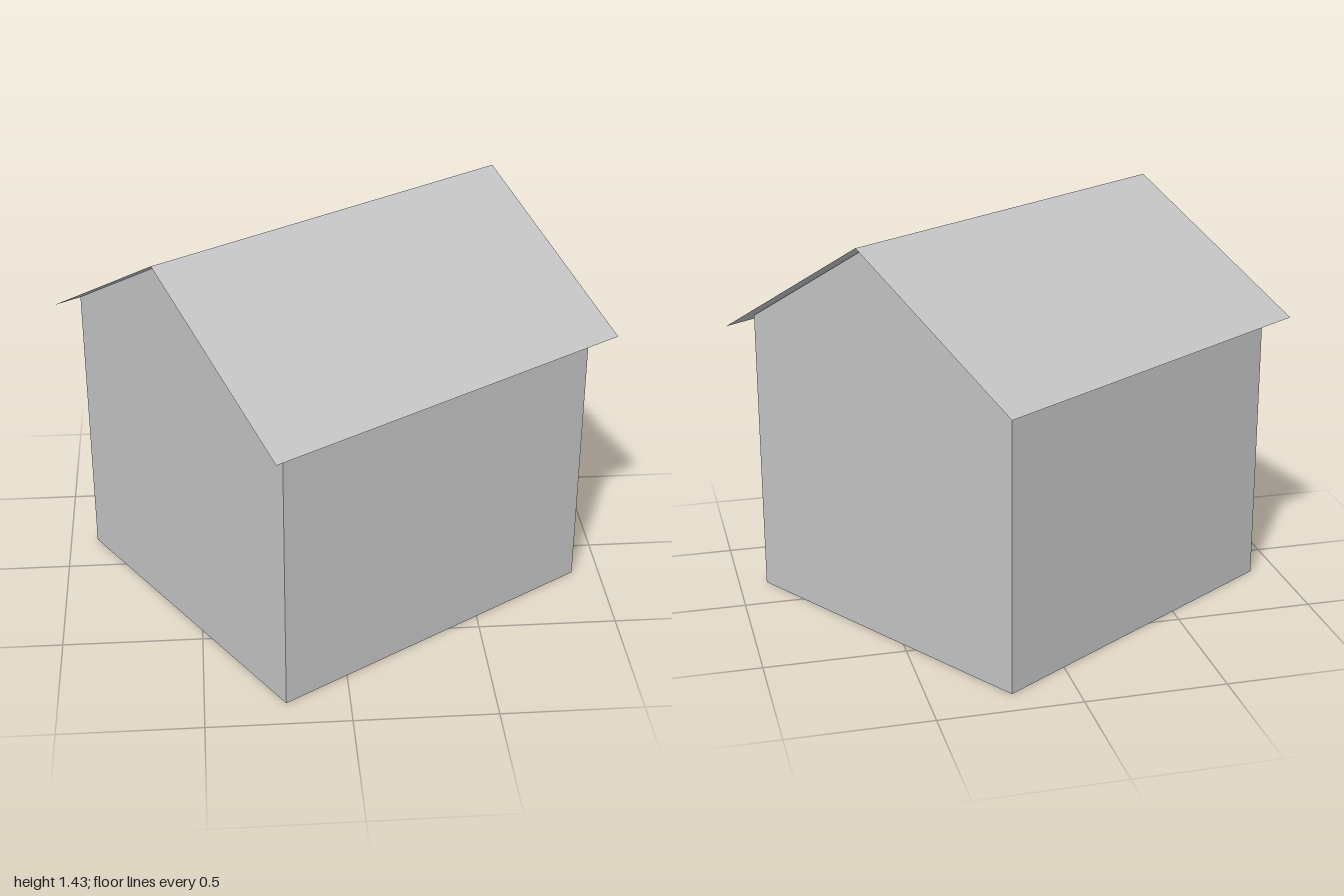
import * as THREE from 'three';

export function createModel() {
  const model = new THREE.Group();
  model.name = 'house';
  const grey = new THREE.MeshStandardMaterial({ color: 0xc4c4c4, side: THREE.DoubleSide });
  grey.name = 'plain grey';

  const wallX = 0.663, wallZ = 0.633; // half sizes of the walls
  const roofX = 0.737, roofZ = 0.703; // half sizes of the roof
  const ridgeY = 1.43, roofEaveY = 1.01;
  const slope = (ridgeY - roofEaveY) / roofZ;
  const wallTop = ridgeY - slope * wallZ - 0.002;

  // the house stands turned on its plot
  const house = new THREE.Group();
  house.name = 'turnedHouse';
  house.rotation.y = 0.566;
  model.add(house);

  const add = (name, geometry) => {
    const mesh = new THREE.Mesh(geometry, grey);
    mesh.name = name;
    house.add(mesh);
    return mesh;
  };

  // five-sided gable wall outline
  const gable = new THREE.Shape([
    new THREE.Vector2(-wallZ, 0),
    new THREE.Vector2(wallZ, 0),
    new THREE.Vector2(wallZ, wallTop),
    new THREE.Vector2(0, ridgeY - 0.002),
    new THREE.Vector2(-wallZ, wallTop),
  ]);

  for (const side of [1, -1]) {
    const label = side > 0 ? 'front' : 'back';

    // gable end walls
    const end = add(side > 0 ? 'leftGableWall' : 'rightGableWall', new THREE.ShapeGeometry(gable));
    end.rotation.y = side * Math.PI / 2;
    end.position.x = side * wallX;

    // long side walls, open below
    const wall = add(label + 'Wall', new THREE.PlaneGeometry(2 * wallX, wallTop));
    wall.rotation.y = side > 0 ? 0 : Math.PI;
    wall.position.set(0, wallTop / 2, side * wallZ);

    // thin overhanging roof slopes
    const length = Math.hypot(roofZ, ridgeY - roofEaveY);
    const roof = new THREE.PlaneGeometry(2 * roofX, length);
    roof.rotateX(-Math.atan2(roofZ, ridgeY - roofEaveY));
    roof.translate(0, (ridgeY + roofEaveY) / 2, roofZ / 2);
    if (side < 0) roof.rotateY(Math.PI);
    add(label + 'RoofSlope', roof);
  }

  return model;
}
